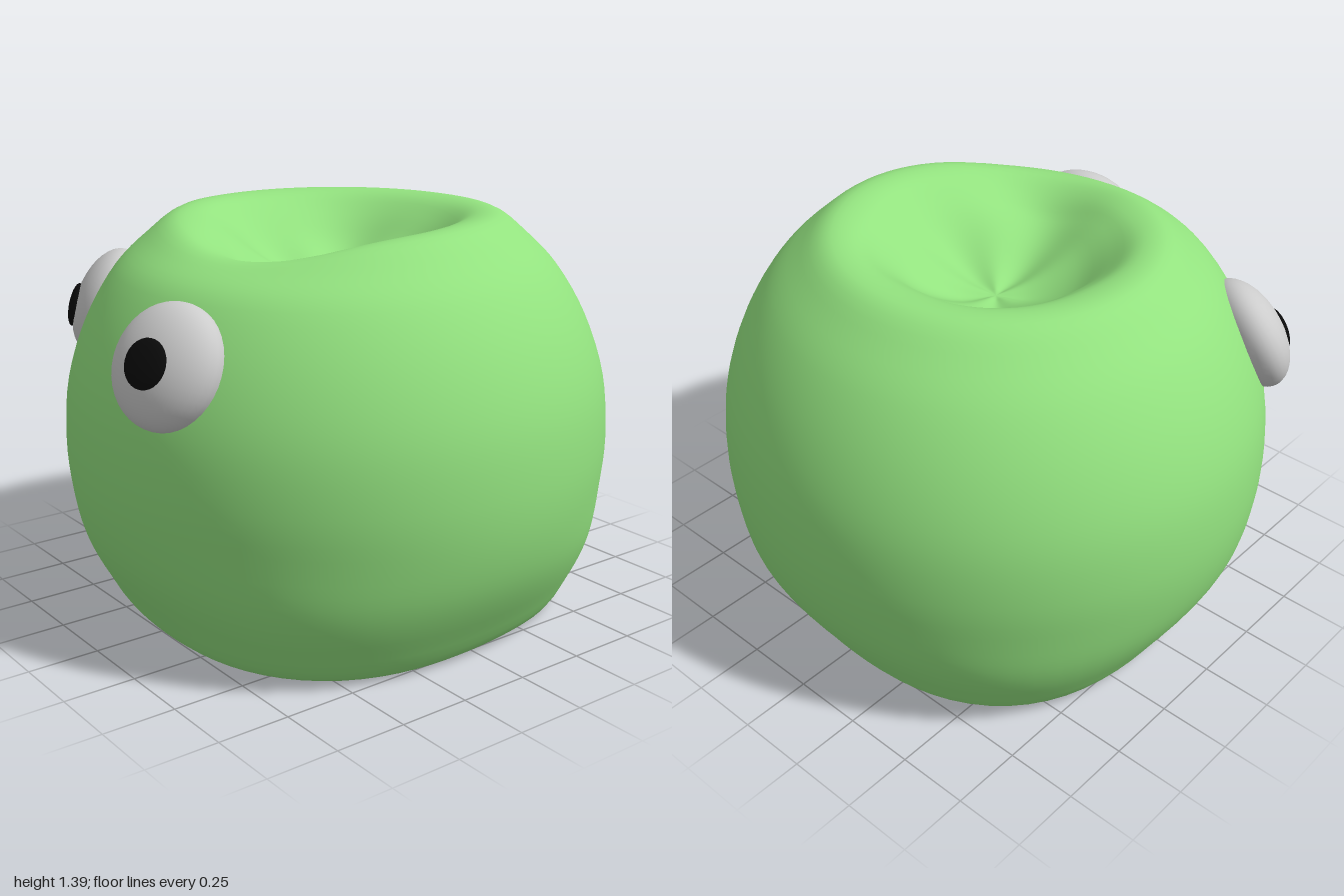
import * as THREE from 'three';
import { mergeVertices } from 'three/addons/utils/BufferGeometryUtils.js';

const green = new THREE.MeshStandardMaterial({ color: 0x93e27f });
const grey = new THREE.MeshStandardMaterial({ color: 0xcccccc });
const black = new THREE.MeshStandardMaterial({ color: 0x0a0a0a });

const TROUGH = Math.atan2(0.25, -0.6);
const FOLDS = [45, 125, 227, 305].map(THREE.MathUtils.degToRad);
const bump = (d, width) => Math.exp(-((d / width) ** 2));

// Soft squashed ball with a sunken top and a puckered underside
function bodyGeometry() {
  const profile = [
    [0, 0.1], [0.2, 0.07], [0.45, 0.035], [0.68, 0.01], [0.79, 0.002], [0.88, 0.13],
    [0.95, 0.28], [0.985, 0.44], [1, 0.62], [0.98, 0.83], [0.91, 1.03], [0.805, 1.2],
    [0.7, 1.305], [0.59, 1.385], [0.49, 1.38], [0.4, 1.32], [0.28, 1.22], [0.13, 1.145], [0, 1.125],
  ].map(([r, y]) => new THREE.Vector3(r, y, 0));
  const points = new THREE.CatmullRomCurve3(profile).getPoints(72)
    .map((p) => new THREE.Vector2(Math.max(0, p.x), p.y));
  points[0].x = points[72].x = 0;

  let geometry = new THREE.LatheGeometry(points, 80);
  const pos = geometry.attributes.position;
  for (let i = 0; i < pos.count; i++) {
    const x = pos.getX(i), z = pos.getZ(i);
    let y = pos.getY(i);
    const r = Math.hypot(x, z), a = Math.atan2(z, x);
    if (y > 0.9) {
      // Lowered rim on one side with a trough inside it, and wrinkles in the dent
      const toTrough = Math.max(0, Math.cos(a - TROUGH));
      y -= 0.04 * THREE.MathUtils.smoothstep(y, 1.2, 1.39) * toTrough ** 2;
      y -= 0.08 * bump(r - 0.47, 0.15) * toTrough ** 8;
      if (r < 0.5) y += 0.015 * Math.sin(Math.PI * r / 0.5) * Math.cos(5 * a + 0.6);
    } else if (y < 0.12 && r < 0.78) {
      // Pinched grooves meeting under the middle
      for (const f of FOLDS) {
        const d = Math.atan2(Math.sin(a - f), Math.cos(a - f));
        y += 0.07 * bump(d, 0.2) * Math.sin(Math.PI * r / 0.78);
      }
    }
    // Slightly oval plan along one diagonal, squarer at the foot
    const foot = 1 - THREE.MathUtils.smoothstep(y, 0, 0.5);
    const k = 1 - 0.03 * Math.sin(2 * a) - 0.035 * foot * Math.cos(4 * a);
    pos.setXYZ(i, x * k * (x < 0 ? 0.98 : 1), y, z * k);
  }
  geometry.deleteAttribute('uv');
  geometry.deleteAttribute('normal');
  geometry = mergeVertices(geometry, 1e-4);
  geometry.computeVertexNormals();
  return geometry;
}

// Flattened eyeball facing along a direction, pupil shifted by (px, py) on its face
function makeEye(name, center, facing, px, py) {
  const R = 0.205, T = 0.115;
  const eye = new THREE.Group();
  eye.name = name;
  const ball = new THREE.Mesh(new THREE.SphereGeometry(1, 32, 20), grey);
  ball.name = 'eyeball';
  ball.scale.set(R, R, T);

  const pupil = new THREE.Mesh(new THREE.SphereGeometry(1, 24, 14), black);
  pupil.name = 'pupil';
  pupil.scale.set(0.08, 0.08, 0.025);
  const pz = T * Math.sqrt(1 - (px * px + py * py) / (R * R)) - 0.007;
  pupil.position.set(px, py, pz);
  pupil.quaternion.setFromUnitVectors(
    new THREE.Vector3(0, 0, 1),
    new THREE.Vector3(px / (R * R), py / (R * R), pz / (T * T)).normalize(),
  );

  eye.add(ball, pupil);
  eye.position.set(...center);
  eye.lookAt(eye.position.clone().add(new THREE.Vector3(...facing)));
  return eye;
}

export function createModel() {
  const model = new THREE.Group();
  model.name = 'roundCreature';
  const body = new THREE.Mesh(bodyGeometry(), green);
  body.name = 'body';
  model.add(
    body,
    makeEye('frontEye', [-0.857, 1.02, 0.29], [-0.86, 0.4, 0.28], 0, -0.013),
    makeEye('backEye', [-0.535, 1.015, -0.69], [-0.8, 0.4, -0.47], 0.005, -0.055),
  );
  return model;
}
